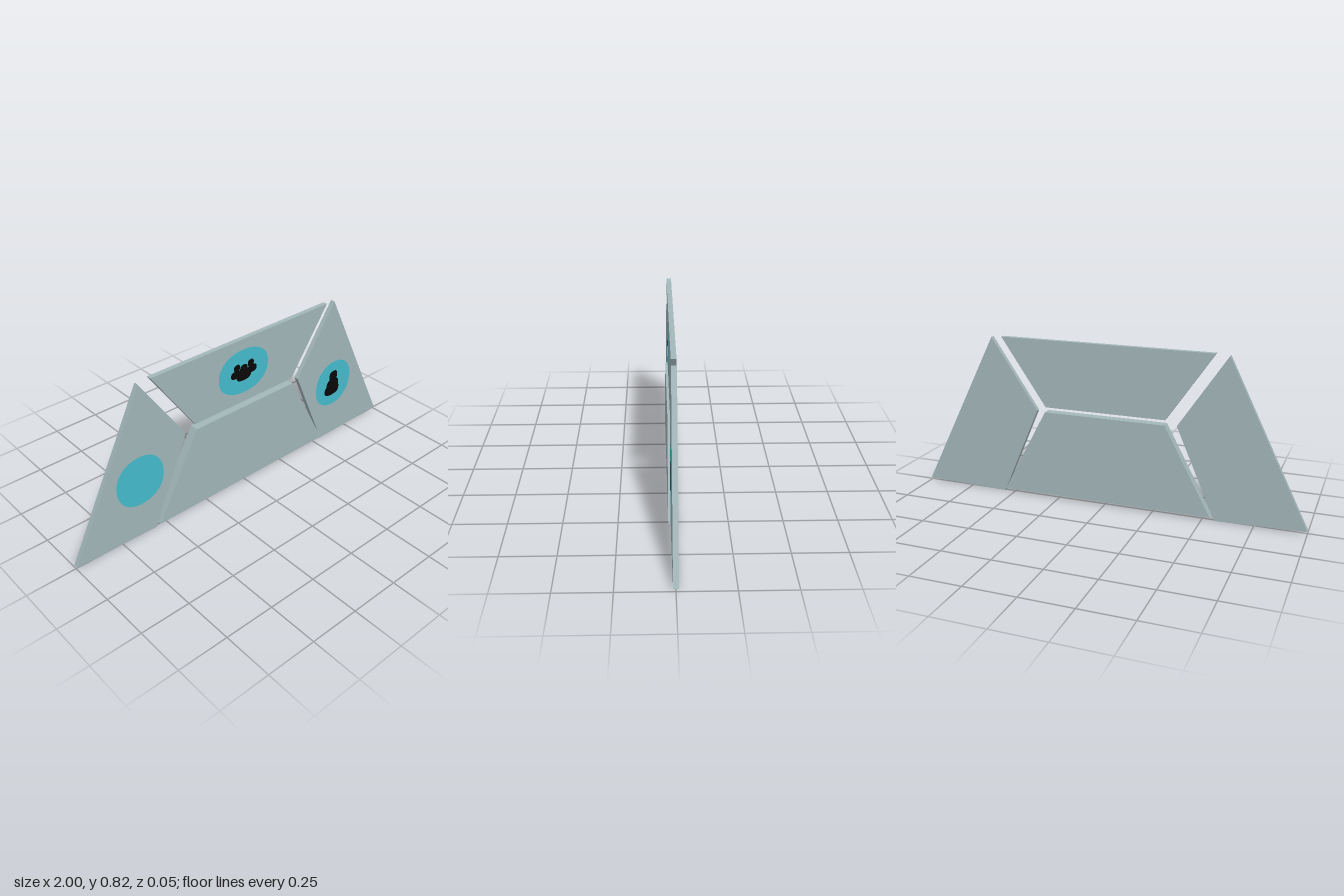
import * as THREE from 'three';

const panelMat = new THREE.MeshStandardMaterial({ name: 'greyPanel', color: 0xa3b7ba });
const discMat = new THREE.MeshStandardMaterial({ name: 'tealDisc', color: 0x45bccd });
const iconMat = new THREE.MeshStandardMaterial({ name: 'blackIcon', color: 0x080808 });

const THIN = 0.012; // half thickness of the outer panels
const THICK = 0.023; // half thickness of the lower middle panel

const toShape = (points) => new THREE.Shape(points.map(([x, y]) => new THREE.Vector2(x, y)));

// Flat slab with the given outline, centred on z = 0
function addPanel(group, name, points, half) {
  const geometry = new THREE.ExtrudeGeometry(toShape(points), { depth: half * 2, bevelEnabled: false });
  geometry.translate(0, 0, -half);
  const mesh = new THREE.Mesh(geometry, panelMat);
  mesh.name = name;
  group.add(mesh);
}

// Rounded, slightly squarish painted spot
function addSpot(group, name, [x, y, rx, ry, tilt = 0], material, z, power = 0.93) {
  const points = [];
  for (let i = 0; i < 40; i++) {
    const a = (i / 40) * Math.PI * 2;
    const c = Math.cos(a), s = Math.sin(a);
    points.push([Math.sign(c) * Math.abs(c) ** power * rx, Math.sign(s) * Math.abs(s) ** power * ry]);
  }
  const mesh = new THREE.Mesh(new THREE.ShapeGeometry(toShape(points)), material);
  mesh.name = name;
  mesh.position.set(x, y, z);
  mesh.rotation.z = tilt;
  group.add(mesh);
}

// Icon made of overlapping painted spots
function addIcon(group, name, spots) {
  const icon = new THREE.Group();
  icon.name = name;
  spots.forEach((spot, i) => addSpot(icon, `${name}Part${i + 1}`, spot, iconMat, THIN + 0.004 + i * 0.0001, 0.75));
  group.add(icon);
}

export function createModel() {
  const model = new THREE.Group();
  model.name = 'panelBoard';

  // Four panels
  addPanel(model, 'rightPanel', [[-1, 0.015], [-0.56, 0.003], [-0.363, 0.457], [-0.602, 0.815]], THIN);
  addPanel(model, 'leftPanel', [[0.555, 0.003], [1, 0.015], [0.6, 0.815], [0.36, 0.457]], THIN);
  addPanel(model, 'topPanel', [[-0.305, 0.48], [0.313, 0.48], [0.545, 0.82], [-0.537, 0.82]], THIN);
  addPanel(model, 'lowerPanel', [[-0.54, 0.02], [0.545, 0.02], [0.313, 0.457], [-0.305, 0.457]], THICK);

  // Painted discs
  addSpot(model, 'rightDisc', [-0.63, 0.317, 0.13, 0.132, 0.1], discMat, THIN + 0.002);
  addSpot(model, 'leftDisc', [0.628, 0.328, 0.128, 0.132, -0.1], discMat, THIN + 0.002);
  addSpot(model, 'topDisc', [-0.007, 0.65, 0.155, 0.117, -0.03], discMat, THIN + 0.002);

  // Single figure: head, shoulders and base
  addIcon(model, 'figureIcon', [
    [0.625, 0.372, 0.029, 0.032],
    [0.622, 0.318, 0.045, 0.04],
    [0.618, 0.292, 0.053, 0.034],
  ]);

  // Group of figures: middle body and head, with a smaller pair beside it
  const trio = [[-0.009, 0.66, 0.024, 0.028], [-0.009, 0.633, 0.046, 0.031]];
  for (const side of [-1, 1]) {
    trio.push([-0.009 + side * 0.043, 0.682, 0.019, 0.018]);
    trio.push([-0.009 + side * 0.05, 0.648, 0.03, 0.021]);
  }
  addIcon(model, 'groupIcon', trio);

  return model;
}
